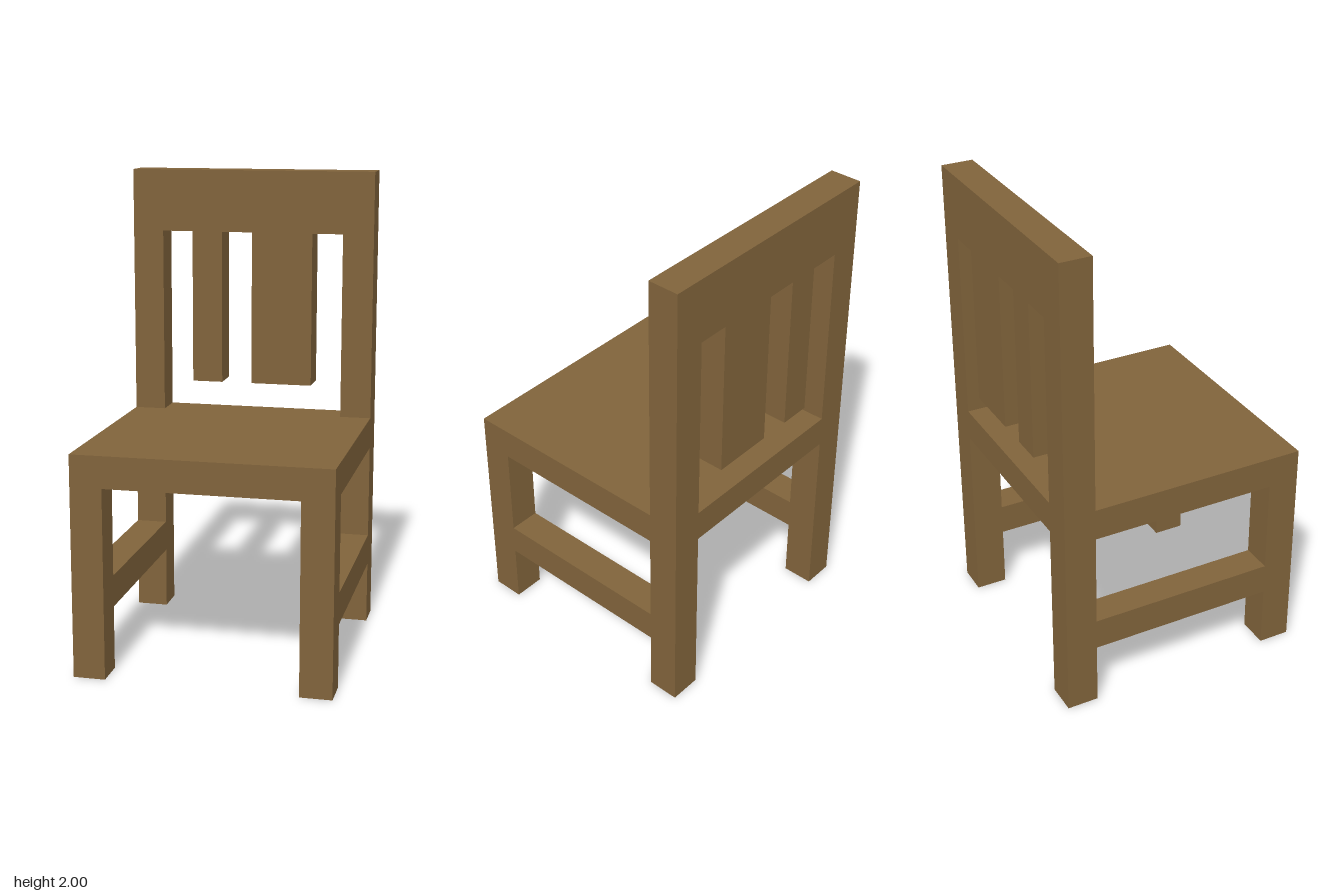
import * as THREE from 'three';

const U = 2 / 15; // one grid unit: the thickness of every plank and post

export function createModel() {
  const chair = new THREE.Group();
  chair.name = 'chair';
  const wood = new THREE.MeshStandardMaterial({ color: 0x80633b });
  wood.name = 'brown wood';

  const shapePath = (Type, points) =>
    new Type(points.map(([x, y]) => new THREE.Vector2(x * U, y * U)));

  const add = (name, geometry) => {
    const mesh = new THREE.Mesh(geometry, wood);
    mesh.name = name;
    chair.add(mesh);
    return mesh;
  };

  // Box given by its extents in grid units
  const box = (name, [x0, x1], [y0, y1], [z0, z1]) =>
    add(name, new THREE.BoxGeometry((x1 - x0) * U, (y1 - y0) * U, (z1 - z0) * U))
      .position.set((x0 + x1) / 2 * U, (y0 + y1) / 2 * U, (z0 + z1) / 2 * U);

  // Back frame: rear legs, posts and top rail in one piece
  const back = shapePath(THREE.Shape, [
    [-4, 0], [-3, 0], [-3, 6], [3, 6], [3, 0], [4, 0], [4, 15], [-4, 15],
  ]);
  // Opening, shaped around a narrow and a wide slat hanging from the rail
  back.holes.push(shapePath(THREE.Path, [
    [-3, 7], [-3, 13], [-2, 13], [-2, 8], [-1, 8], [-1, 13],
    [0, 13], [0, 8], [2, 8], [2, 13], [3, 13], [3, 7],
  ]));
  add('backFrame', new THREE.ExtrudeGeometry(back, { depth: U, bevelEnabled: false }))
    .position.z = -4 * U;

  box('seat', [-4, 4], [6, 7], [-3, 4]);

  // Front legs and side stretchers
  for (const [side, x] of [['right', [-4, -3]], ['left', [3, 4]]]) {
    box(side + 'FrontLeg', x, [0, 6], [3, 4]);
    box(side + 'Stretcher', x, [2, 3], [-3, 3]);
  }

  return chair;
}
